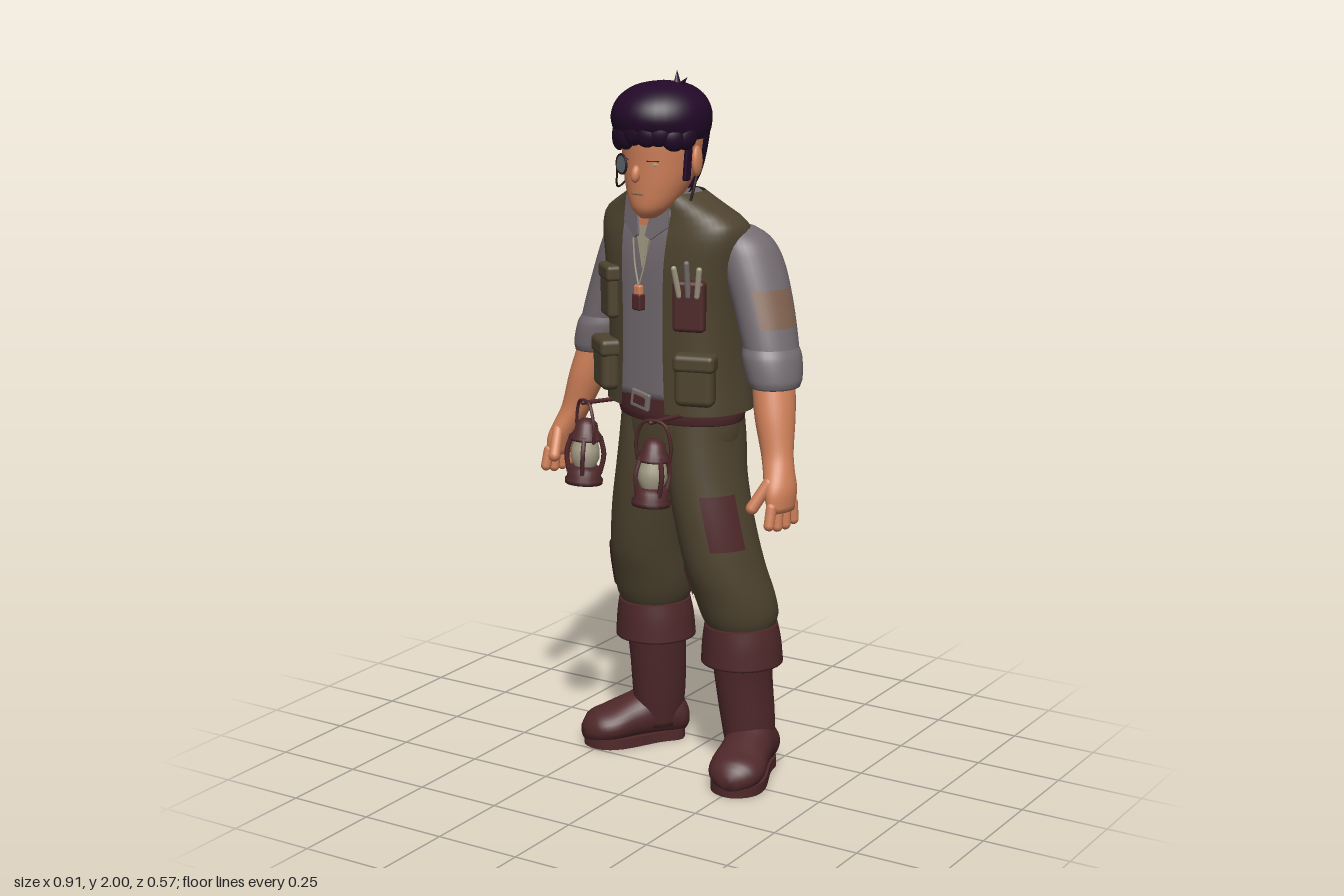
import * as THREE from 'three';
import { RoundedBoxGeometry } from 'three/addons/geometries/RoundedBoxGeometry.js';

const mat = (name, color, side = THREE.FrontSide) => {
  const m = new THREE.MeshStandardMaterial({ color, side });
  m.name = name;
  return m;
};
const M = {
  skin: mat('skin', 0xcf8059), hair: mat('hair', 0x220928, THREE.DoubleSide),
  olive: mat('olive cloth', 0x4e432f, THREE.DoubleSide), shirt: mat('grey cloth', 0x746c71, THREE.DoubleSide),
  leather: mat('maroon leather', 0x4f282a, THREE.DoubleSide), cream: mat('cream', 0xa39c85, THREE.DoubleSide),
  dark: mat('dark metal', 0x2b1a1c), rust: mat('faded patch', 0x806250, THREE.DoubleSide),
  lens: mat('lens', 0x626f74, THREE.DoubleSide), steel: mat('steel', 0x77706c),
};

// A profile is a list of cross-sections [y, centreX, centreZ, radiusX, radiusZ, frontGap], bottom to top.
function sample(p, y) {
  let i = 0;
  while (i < p.length - 2 && y > p[i + 1][0]) i++;
  const h = p[i + 1][0] - p[i][0], u = (y - p[i][0]) / h;
  const slope = (j, k) => {
    const a = p[Math.max(0, j - 1)], b = p[Math.min(p.length - 1, j + 1)];
    return ((b[k] ?? 0) - (a[k] ?? 0)) / (b[0] - a[0]);
  };
  return [0, 1, 2, 3, 4, 5].map((k) => k === 0 ? y
    : (2 * u ** 3 - 3 * u * u + 1) * (p[i][k] ?? 0) + (u ** 3 - 2 * u * u + u) * h * slope(i, k)
    + (3 * u * u - 2 * u ** 3) * (p[i + 1][k] ?? 0) + (u ** 3 - u * u) * h * slope(i + 1, k));
}
function surf(p, y, t, off = 0, e = 1) {
  const r = sample(p, y), s = Math.sin(t), c = Math.cos(t);
  return new THREE.Vector3(r[1] + (r[3] + off) * Math.sign(s) * Math.abs(s) ** e, y,
    r[2] + (r[4] + off) * Math.sign(c) * Math.abs(c) ** e);
}
// Smooth surface over a profile; t0..t1 or a front gap leaves it open
function loft(p, { y0 = p[0][0], y1 = p[p.length - 1][0], t0, t1, off = 0, e = 1, rows = 20, seg = 32 } = {}) {
  const open = t0 !== undefined || p[0].length > 5, cols = open ? seg + 1 : seg, pos = [], idx = [];
  for (let i = 0; i <= rows; i++) {
    const y = y0 + (y1 - y0) * i / rows, gap = sample(p, y)[5];
    const a = t0 ?? gap, b = t1 ?? Math.PI * 2 - gap;
    for (let j = 0; j < cols; j++) pos.push(...surf(p, y, a + (b - a) * j / seg, off, e).toArray());
  }
  for (let i = 0; i < rows; i++) for (let j = 0; j < seg; j++) {
    const a = i * cols + j, b = i * cols + (j + 1) % cols;
    idx.push(a, b, b + cols, a, b + cols, a + cols);
  }
  if (!open) [y0, y1].forEach((y, k) => {
    const r = sample(p, y), c = pos.length / 3, base = k * rows * cols;
    pos.push(r[1], y, r[2]);
    for (let j = 0; j < seg; j++) {
      const a = base + j, b = base + (j + 1) % seg;
      idx.push(...(k ? [c, a, b] : [c, b, a]));
    }
  });
  const g = new THREE.BufferGeometry();
  g.setAttribute('position', new THREE.Float32BufferAttribute(pos, 3));
  g.setIndex(idx);
  g.computeVertexNormals();
  return g;
}
function add(parent, name, geo, m, pos = [0, 0, 0], rot = [0, 0, 0], scale = [1, 1, 1]) {
  const mesh = new THREE.Mesh(geo, m);
  mesh.name = name;
  mesh.position.set(...pos); mesh.rotation.set(...rot); mesh.scale.set(...scale);
  parent.add(mesh);
  return mesh;
}
function rod(parent, name, a, b, r, m) {
  const A = new THREE.Vector3(...a), B = new THREE.Vector3(...b), d = B.clone().sub(A);
  const mesh = add(parent, name, new THREE.CapsuleGeometry(r, d.length(), 4, 10), m, A.add(B).multiplyScalar(0.5).toArray());
  mesh.quaternion.setFromUnitVectors(new THREE.Vector3(0, 1, 0), d.normalize());
}
function group(parent, name, pos, rot) {
  const g = new THREE.Group();
  g.name = name;
  g.position.set(...pos); g.rotation.set(...rot);
  parent.add(g);
  return g;
}
const tube = (pts, r) => new THREE.TubeGeometry(new THREE.CatmullRomCurve3(pts.map((p) => new THREE.Vector3(...p))), 24, r, 6);
const plate = (pts, depth) => new THREE.ExtrudeGeometry(new THREE.Shape(pts.map((p) => new THREE.Vector2(...p))), { depth, bevelEnabled: false });
const box = (w, h, d, r = 0.01) => new RoundedBoxGeometry(w, h, d, 3, r);
const ball = (r) => new THREE.SphereGeometry(r, 20, 14);
const flip = (p, s) => p.map(([y, x, ...rest]) => [y, x * s, ...rest]);

const VEST = [[1.075, 0, -0.055, 0.222, 0.153, 0.3], [1.2, 0, -0.05, 0.212, 0.148, 0.29], [1.35, 0, -0.05, 0.214, 0.148, 0.28],
  [1.48, 0, -0.047, 0.229, 0.144, 0.27], [1.56, 0, -0.043, 0.241, 0.131, 0.27], [1.605, 0, -0.034, 0.228, 0.11, 0.29],
  [1.64, 0, -0.02, 0.172, 0.095, 0.4], [1.675, 0, -0.006, 0.1, 0.089, 0.55]];
const BACK_FLAP = VEST.map(([y, x, z, a, b]) => [y, x, z, a + 0.05 * (1.6 - y), b + 0.05 * (1.6 - y)]);
const LEG = [[0.43, 0.172, -0.125, 0.085, 0.09], [0.465, 0.17, -0.125, 0.103, 0.111], [0.53, 0.162, -0.11, 0.11, 0.118],
  [0.62, 0.148, -0.084, 0.106, 0.121], [0.75, 0.125, -0.065, 0.105, 0.12], [0.88, 0.1, -0.06, 0.103, 0.123],
  [0.98, 0.09, -0.065, 0.1, 0.126], [1.06, 0.085, -0.065, 0.1, 0.12]];
const SLEEVE = [[1.2, 0.335, -0.076, 0.064, 0.074], [1.28, 0.312, -0.083, 0.071, 0.082], [1.4, 0.27, -0.093, 0.076, 0.09],
  [1.5, 0.228, -0.096, 0.08, 0.092], [1.555, 0.203, -0.09, 0.073, 0.078], [1.585, 0.185, -0.085, 0.045, 0.048], [1.597, 0.178, -0.08, 0.015, 0.015]];
const FACE = [[1.612, 0, 0.06, 0.02, 0.025], [1.635, 0, 0.048, 0.052, 0.055], [1.69, 0, 0.024, 0.083, 0.085], [1.76, 0, 0.005, 0.102, 0.107],
  [1.84, 0, 0, 0.108, 0.115], [1.9, 0, 0, 0.09, 0.1]];

function torso(g) {
  add(g, 'shirt', loft(VEST.map((r) => r.slice(0, 5)), { y0: 1.105, off: -0.012, e: 0.8, rows: 28 }), M.shirt);
  add(g, 'vest', loft(VEST, { e: 0.8, rows: 30, seg: 48 }), M.olive);
  add(g, 'back flap', loft(BACK_FLAP, { y0: 1.32, y1: 1.59, t0: 1.8, t1: 4.48, e: 0.8 }), M.olive);
  const hem = Array.from({ length: 13 }, (_, i) => surf(BACK_FLAP, 1.325, 1.8 + 2.68 * i / 12, -0.003, 0.8).toArray());
  add(g, 'back flap hem', tube(hem, 0.007), M.olive);
  add(g, 'hips', loft([[0.82, 0, -0.06, 0.05, 0.06], [0.88, 0, -0.06, 0.14, 0.115], [0.98, 0, -0.063, 0.188, 0.13], [1.09, 0, -0.06, 0.188, 0.132]]), M.olive);
  add(g, 'belt', loft([[1.04, 0, -0.06, 0.198, 0.142], [1.06, 0, -0.06, 0.202, 0.148], [1.11, 0, -0.06, 0.203, 0.152]]), M.leather);
  add(g, 'buckle', box(0.07, 0.05, 0.012, 0.005), M.steel, [-0.008, 1.1, 0.093], [0, 0, -0.15]);
  add(g, 'buckle inset', box(0.045, 0.026, 0.008, 0.003), M.leather, [-0.008, 1.1, 0.097], [0, 0, -0.15]);
  // collar and neckline
  add(g, 'neck', new THREE.CylinderGeometry(0.058, 0.064, 0.14, 24), M.skin, [0.008, 1.62, 0.012]);
  add(g, 'undershirt', plate([[0, 0], [0.034, 0.12], [-0.034, 0.12]], 0.006), M.cream, [0, 1.465, 0.089], [-0.07, 0, 0]);
  add(g, 'bare neckline', plate([[-0.034, 0], [0.034, 0], [0.046, 0.06], [-0.046, 0.06]], 0.006), M.skin, [0, 1.585, 0.081], [-0.07, 0, 0]);
  add(g, 'collar', loft([[1.615, 0, 0, 0.108, 0.092, 0.45], [1.65, 0, 0.002, 0.092, 0.086, 0.5], [1.685, 0, 0.004, 0.078, 0.08, 0.6]]), M.shirt);
  for (const s of [1, -1]) {
    const flap = [[0.036, 0.11], [0.082, 0.1], [0.085, 0.03], [0.03, -0.01], [0.012, 0.0]].map(([x, y]) => [x * s, y]);
    add(g, 'collar flap', plate(flap, 0.006), M.shirt, [0, 1.56, 0.094], [-0.1, 0.2 * s, 0]);
    add(g, 'necklace', tube([[0.028 * s, 1.55, 0.1], [0.018 * s, 1.48, 0.104], [0, 1.42, 0.108]], 0.0028), M.cream);
    // pockets
    const lower = group(g, 'lower pocket', [s > 0 ? 0.178 : -0.155, 1.175, s > 0 ? 0.07 : 0.08], [0, 0.5 * s, 0]);
    add(lower, 'pouch', box(0.11, 0.13, 0.055, 0.02), M.olive);
    add(lower, 'pocket flap', box(0.117, 0.05, 0.064, 0.015), M.olive, [0, 0.055, 0]);
    const upper = group(g, 'upper pocket', [s > 0 ? 0.165 : -0.14, 1.385, 0.08], [0, 0.5 * s, 0]);
    add(upper, 'pouch', box(0.09, 0.14, 0.035, 0.012), s > 0 ? M.leather : M.olive);
    if (s < 0) add(upper, 'pocket flap', box(0.098, 0.045, 0.045, 0.012), M.olive, [0, 0.055, 0]);
    else [-0.025, 0, 0.025].forEach((x, i) => rod(upper, 'tool', [x, 0.03, 0.014], [x * 1.4, 0.105 + 0.015 * (i % 2), 0.03], 0.008, i === 1 ? M.steel : M.cream));
  }
  add(g, 'pendant', box(0.026, 0.06, 0.018, 0.006), M.skin, [0, 1.395, 0.108]);
  add(g, 'pendant sleeve', box(0.032, 0.045, 0.024, 0.005), M.leather, [0, 1.378, 0.108]);
  // hanging cloth behind the belt
  add(g, 'back pouch', plate([[-0.045, 0.05], [-0.04, -0.04], [0, -0.075], [0.04, -0.035], [0.045, 0.05]], 0.009), M.leather, [-0.09, 1.03, -0.206], [0.1, 0.3, 0]);
  add(g, 'back rag', plate([[-0.06, 0.05], [-0.05, -0.05], [0, -0.03], [0.03, -0.07], [0.05, 0.05]], 0.009), M.olive, [0.06, 1.02, -0.21], [0.05, -0.1, 0]);
}

function lantern(g, s) {
  const x = s > 0 ? 0.138 : -0.155, z = s > 0 ? 0.2 : 0.172;
  const l = group(g, 'lantern', [x, 0.85, z], [-0.08, 0.3 * s, 0]);
  const lathe = (pts) => new THREE.LatheGeometry(pts.map((p) => new THREE.Vector2(...p)), 20);
  add(l, 'base', lathe([[0, 0], [0.052, 0], [0.054, 0.012], [0.048, 0.02], [0.048, 0.04], [0.038, 0.05], [0, 0.05]]), M.leather);
  add(l, 'glass', lathe([[0.03, 0.05], [0.041, 0.075], [0.039, 0.1], [0.03, 0.13]]), M.cream);
  add(l, 'cap', lathe([[0, 0.122], [0.042, 0.122], [0.048, 0.13], [0.034, 0.15], [0.03, 0.17], [0.018, 0.182], [0, 0.185]]), M.leather);
  for (let i = 0; i < 4; i++) {
    const c = Math.cos(i * Math.PI / 2 + 0.6), q = Math.sin(i * Math.PI / 2 + 0.6);
    add(l, 'frame bar', tube([[0.043 * c, 0.03, 0.043 * q], [0.052 * c, 0.085, 0.052 * q], [0.04 * c, 0.135, 0.04 * q]], 0.007), M.leather);
  }
  add(l, 'handle', tube([[-0.048, 0.12, 0], [-0.053, 0.17, 0.005], [-0.03, 0.228, 0.01], [0.03, 0.228, 0.01], [0.053, 0.17, 0.005], [0.048, 0.12, 0]], 0.005), M.leather);
  rod(g, 'lantern strap', [x * 0.9, 1.075, 0.055], [x, 1.08, z], 0.006, M.leather);
}

function limbs(g, s) {
  // trousers and boots
  add(g, 'trouser leg', loft(flip(LEG, s), { rows: 30 }), M.olive);
  add(g, 'boot cuff', loft(flip([[0.335, 0.172, -0.13, 0.116, 0.117], [0.4, 0.172, -0.128, 0.11, 0.113], [0.45, 0.172, -0.125, 0.1, 0.107]], s)), M.leather);
  add(g, 'boot shaft', loft(flip([[0.05, 0.185, -0.155, 0.062, 0.072], [0.15, 0.179, -0.15, 0.072, 0.082], [0.28, 0.172, -0.138, 0.077, 0.088], [0.37, 0.172, -0.13, 0.083, 0.092]], s)), M.leather);
  const foot = group(g, 'foot', [0.152 * s, 0, -0.235], [0, 0.46 * s, 0]);
  const upper = loft([[0, 0, -0.06, 0.035, 0.035], [0.02, 0, -0.07, 0.063, 0.06], [0.1, 0, -0.088, 0.069, 0.08], [0.17, 0, -0.075, 0.073, 0.067],
    [0.24, 0, -0.06, 0.08, 0.054], [0.29, 0, -0.053, 0.064, 0.044], [0.318, 0, -0.044, 0.025, 0.022]], { rows: 26 });
  add(foot, 'boot foot', upper.rotateX(Math.PI / 2), M.leather);
  const outline = new THREE.Shape().setFromPoints(new THREE.SplineCurve([[0, 0.002], [0.054, 0.03], [0.058, 0.1], [0.077, 0.22], [0.058, 0.285], [0, 0.314],
    [-0.058, 0.285], [-0.077, 0.22], [-0.058, 0.1], [-0.054, 0.03], [0, 0.002]].map((p) => new THREE.Vector2(...p))).getPoints(40));
  const sole = new THREE.ExtrudeGeometry(outline, { depth: 0.03, bevelEnabled: false }).rotateX(Math.PI / 2);
  add(foot, 'sole', sole, M.leather, [0, 0.03, 0]);
  // sleeve, forearm and hand
  add(g, 'sleeve', loft(flip(SLEEVE, s), { rows: 30 }), M.shirt);
  add(g, 'rolled cuff', loft(flip([[1.17, 0.342, -0.07, 0.063, 0.072], [1.19, 0.338, -0.072, 0.071, 0.08], [1.25, 0.321, -0.079, 0.076, 0.087], [1.28, 0.312, -0.083, 0.069, 0.08]], s)), M.shirt);
  add(g, 'forearm', loft(flip([[0.855, 0.434, 0.003, 0.024, 0.048], [0.91, 0.425, -0.004, 0.035, 0.054], [0.96, 0.407, -0.016, 0.04, 0.046], [1.0, 0.391, -0.027, 0.044, 0.044],
    [1.1, 0.362, -0.048, 0.054, 0.058], [1.2, 0.336, -0.07, 0.055, 0.063]], s), { rows: 24 }), M.skin);
  for (let i = 0; i < 4; i++) {
    const z = -0.04 + i * 0.028;
    rod(g, 'finger', [0.436 * s, 0.87, z], [0.438 * s, 0.812 + 0.008 * Math.abs(i - 1.5), z * 1.15 + 0.004], 0.015, M.skin);
  }
  rod(g, 'thumb', [0.412 * s, 0.93, 0.03], [0.388 * s, 0.865, 0.068], 0.017, M.skin);
}

function head(g) {
  const h = group(g, 'head', [0.022, 0, 0.037], [0, 0.1, 0]);
  add(h, 'face', loft(FACE, { rows: 26 }), M.skin);
  add(h, 'nose', ball(0.015), M.skin, [0, 1.735, 0.113], [-0.25, 0, 0], [0.85, 1.6, 1]);
  add(h, 'mouth', box(0.036, 0.004, 0.006, 0.002), M.rust, [0, 1.68, 0.108]);
  for (const s of [1, -1]) {
    add(h, 'ear', ball(0.03), M.skin, [0.108 * s, 1.765, -0.012], [0, 0.3 * s, 0], [0.45, 1.4, 0.85]);
    add(h, 'eye', ball(0.013), M.cream, [0.045 * s, 1.762, 0.096], [0, 0.4 * s, 0], [1.3, 0.55, 0.35]);
    add(h, 'lash', box(0.034, 0.003, 0.006, 0.0015), M.hair, [0.046 * s, 1.771, 0.099], [0, 0.4 * s, 0]);
    add(h, 'sideburn', box(0.012, 0.12, 0.026, 0.005), M.hair, [0.104 * s, 1.775, 0.022], [0, 0, -0.08 * s]);
    add(h, 'earring', tube([[0.11 * s, 1.73, -0.01], [0.106 * s, 1.69, 0], [0.1 * s, 1.66, 0.005]], 0.004), M.dark);
  }
  // monocle with chain
  add(h, 'monocle rim', new THREE.TorusGeometry(0.026, 0.003, 8, 24), M.dark, [-0.05, 1.757, 0.113], [0, -0.35, 0]);
  add(h, 'monocle lens', new THREE.CircleGeometry(0.026, 24), M.lens, [-0.05, 1.757, 0.114], [0, -0.35, 0]);
  add(h, 'monocle chain', tube([[-0.072, 1.745, 0.105], [-0.092, 1.69, 0.08], [-0.104, 1.7, 0.03], [-0.11, 1.74, 0]], 0.003), M.dark);
  // hair
  add(h, 'hair cap', loft([[1.825, 0, -0.002, 0.12, 0.126], [1.85, 0, 0.002, 0.13, 0.137], [1.885, 0, 0.004, 0.133, 0.142], [1.92, 0, 0.003, 0.121, 0.13],
    [1.948, 0, 0, 0.095, 0.102], [1.965, 0, -0.002, 0.06, 0.064], [1.973, 0, -0.004, 0.012, 0.012]], { rows: 30 }), M.hair);
  add(h, 'back hair', loft([[1.675, 0, -0.02, 0.066, 0.066], [1.72, 0, -0.02, 0.09, 0.09], [1.78, 0, -0.01, 0.112, 0.113], [1.86, 0, 0, 0.129, 0.134]], { t0: 1.72, t1: 4.56 }), M.hair);
  for (let i = 0; i < 9; i++) {
    const t = -1.3 + i * 0.325, drop = 0.022 * Math.abs(i - 5) / 4;
    add(h, 'fringe lock', ball(0.034), M.hair, [0.112 * Math.sin(t), 1.853 - drop - 0.008 * (i % 2), 0.003 + 0.118 * Math.cos(t)], [0, t, i % 2 ? 0.5 : -0.4], [1, 1.1, 0.6]);
  }
  add(h, 'hair swirl', ball(0.06), M.hair, [0.055, 1.92, -0.02], [0, 0, -0.5], [1, 0.6, 1.2]);
  add(h, 'hair tuft', new THREE.ConeGeometry(0.02, 0.07, 10), M.hair, [0.03, 1.967, -0.025], [-0.15, 0, 0.15]);
  add(h, 'tuft curl', new THREE.ConeGeometry(0.012, 0.05, 10), M.hair, [0.052, 1.968, -0.02], [0, 0, -0.8]);
}

export function createModel() {
  const root = new THREE.Group();
  root.name = 'explorer';
  const body = group(root, 'body', [0, 0, 0], [0, -0.22, 0]);
  torso(body);
  for (const s of [1, -1]) { limbs(body, s); lantern(body, s); }
  head(body);
  // sewn patches
  const patch = (name, p, m, y0, y1, t0, t1) => add(body, name, loft(p, { y0, y1, t0, t1, off: 0.004, rows: 8, seg: 10 }), m);
  patch('knee patch', LEG, M.leather, 0.69, 0.845, 0.6, 1.5);
  patch('inner patch', LEG, M.leather, 0.53, 0.62, -1.1, -0.55);
  patch('shin patch', flip(LEG, -1), M.leather, 0.5, 0.63, -1.4, -0.4);
  patch('sleeve patch', SLEEVE, M.rust, 1.33, 1.43, 0.6, 2.0);
  return root;
}
